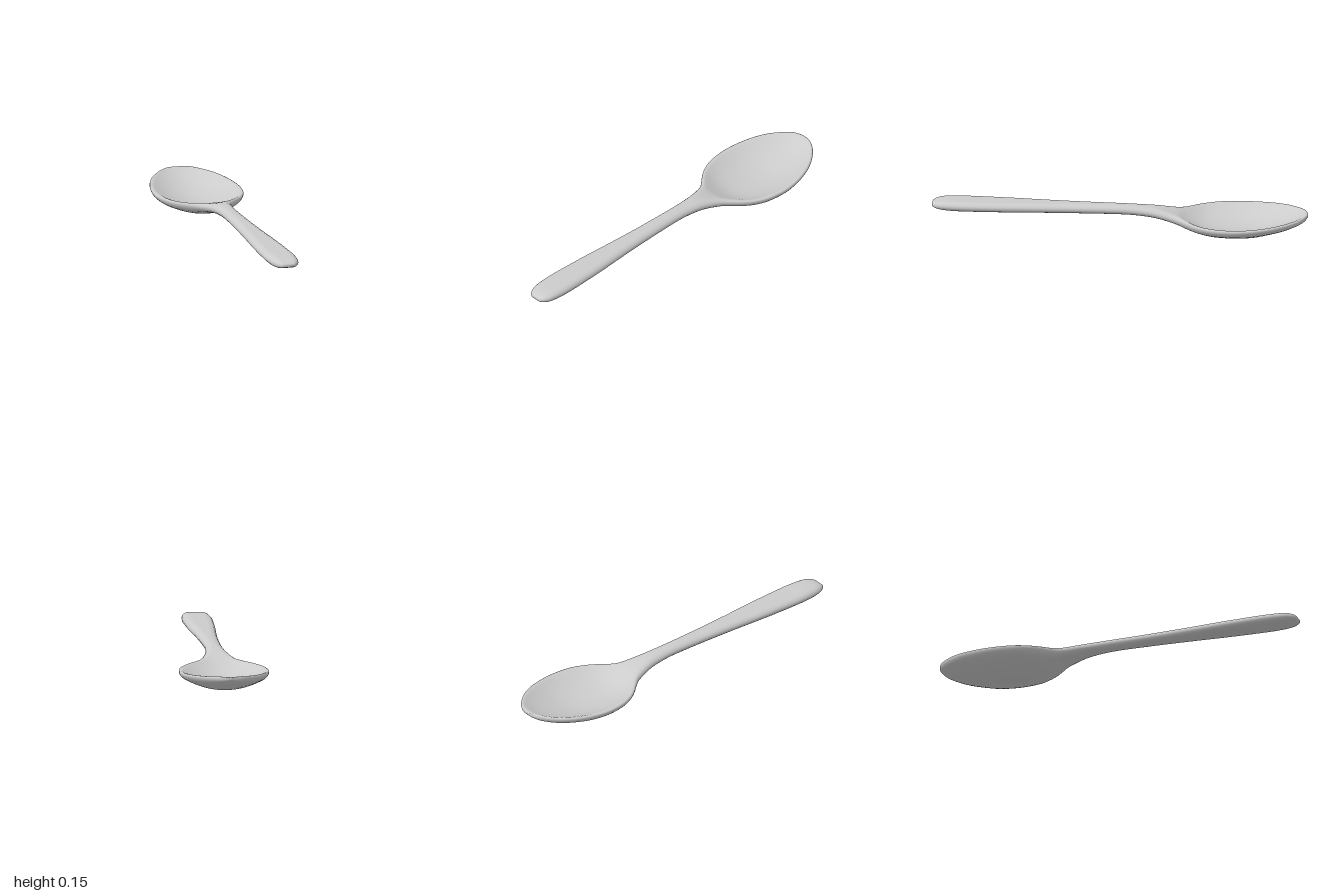
import * as THREE from 'three';

// Stations from handle end to bowl tip: z, half width, rim height, bowl depth, half thickness
const STATIONS = [
  [1.0, 0.034, 0.121, 0, 0.007],
  [0.985, 0.05, 0.122, 0, 0.015],
  [0.95, 0.068, 0.123, 0, 0.022],
  [0.89, 0.077, 0.123, 0, 0.025],
  [0.8, 0.08, 0.123, 0, 0.025],
  [0.6, 0.073, 0.123, 0, 0.025],
  [0.4, 0.06, 0.123, 0, 0.025],
  [0.2, 0.05, 0.123, 0, 0.025],
  [0.0, 0.045, 0.123, 0, 0.025],
  [-0.1, 0.048, 0.12, 0, 0.025],
  [-0.2, 0.06, 0.112, 0, 0.026],
  [-0.3, 0.09, 0.097, 0.007, 0.025],
  [-0.35, 0.125, 0.093, 0.024, 0.023],
  [-0.4, 0.168, 0.092, 0.043, 0.021],
  [-0.45, 0.2, 0.091, 0.056, 0.02],
  [-0.52, 0.227, 0.091, 0.066, 0.02],
  [-0.62, 0.239, 0.092, 0.07, 0.019],
  [-0.72, 0.229, 0.096, 0.068, 0.019],
  [-0.81, 0.203, 0.102, 0.055, 0.018],
  [-0.88, 0.168, 0.107, 0.041, 0.018],
  [-0.935, 0.125, 0.111, 0.024, 0.017],
  [-0.97, 0.086, 0.114, 0.01, 0.016],
  [-0.99, 0.05, 0.115, 0.002, 0.012],
  [-1.0, 0.012, 0.116, 0, 0.005],
];

// Unit cross-section: flat position (-1..1) plus angle around the rounded edge
function sectionTemplate(arcSteps, flatSteps) {
  const points = [];
  for (const side of [1, -1]) {
    for (let i = 0; i <= arcSteps; i++) {
      const a = -Math.PI / 2 + (Math.PI * i) / arcSteps;
      points.push([side, side * Math.cos(a), side * Math.sin(a)]);
    }
    for (let i = 1; i < flatSteps; i++) points.push([side * (1 - (2 * i) / flatSteps), 0, side]);
  }
  return points;
}

function spoonGeometry() {
  const outline = new THREE.CatmullRomCurve3(
    STATIONS.map(([z, w, rim]) => new THREE.Vector3(w, rim, z)), false, 'catmullrom');
  const body = new THREE.CatmullRomCurve3(
    STATIONS.map((s) => new THREE.Vector3(s[3], s[4], 0)), false, 'catmullrom');
  const template = sectionTemplate(8, 20);
  const n = template.length;
  const rings = (STATIONS.length - 1) * 4;
  const positions = [];
  const index = [];

  for (let i = 0; i <= rings; i++) {
    const { x: w, y: rim, z } = outline.getPoint(i / rings);
    const { x: depth, y: half } = body.getPoint(i / rings);
    const edge = Math.min(half * 1.4, w * 0.95);
    for (const [flat, c, s] of template) {
      const x = flat * (w - edge) + edge * c;
      // the middle line of the section sags as a parabola to form the bowl
      positions.push(x, rim - depth * (1 - (x / w) ** 2) + half * s, z);
    }
  }
  for (let i = 0; i < rings; i++) {
    for (let j = 0; j < n; j++) {
      const a = i * n + j;
      const b = i * n + ((j + 1) % n);
      index.push(a, a + n, b, b, a + n, b + n);
    }
  }

  // Close both ends with a fan
  for (const [ring, point, flip] of [[0, STATIONS[0], false], [rings, STATIONS.at(-1), true]]) {
    const center = positions.length / 3;
    positions.push(0, point[2], point[0]);
    for (let j = 0; j < n; j++) {
      const a = ring * n + j;
      const b = ring * n + ((j + 1) % n);
      index.push(center, flip ? b : a, flip ? a : b);
    }
  }

  const geometry = new THREE.BufferGeometry();
  geometry.setAttribute('position', new THREE.Float32BufferAttribute(positions, 3));
  geometry.setIndex(index);
  geometry.computeVertexNormals();
  return geometry;
}

export function createModel() {
  const group = new THREE.Group();
  group.name = 'spoon';
  // Handle, neck and bowl are one continuous skin
  const mesh = new THREE.Mesh(spoonGeometry(), new THREE.MeshStandardMaterial({ color: 0xcccccc }));
  mesh.name = 'handleAndBowl';
  group.add(mesh);
  return group;
}
